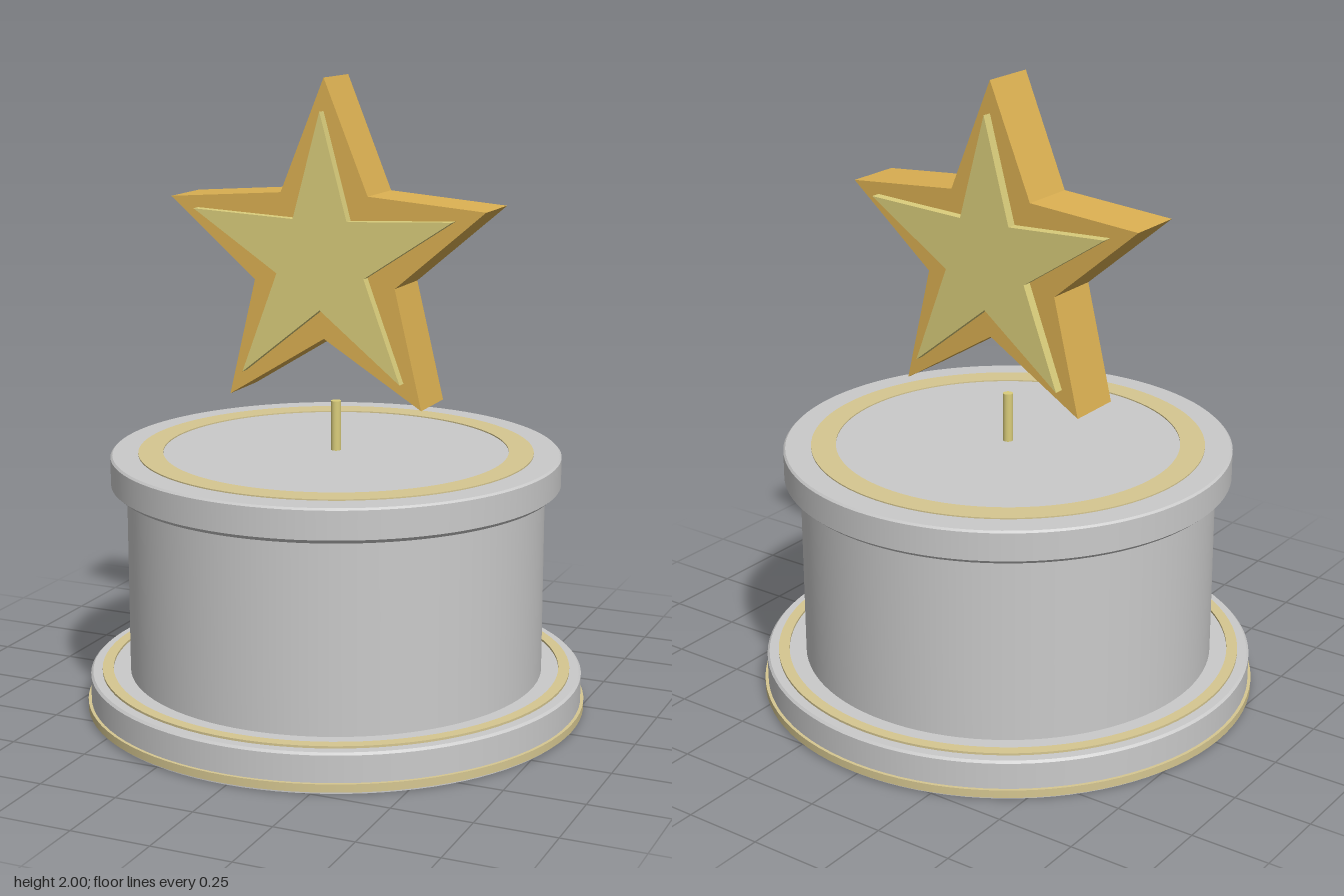
import * as THREE from 'three';

const material = (name, color, side = THREE.FrontSide) => {
  const m = new THREE.MeshStandardMaterial({ color, side });
  m.name = name;
  return m;
};

// Five-pointed star outline, first point upward
function starShape(outer, inner) {
  const points = [];
  for (let i = 0; i < 10; i++) {
    const r = i % 2 ? inner : outer;
    const a = Math.PI / 2 + (i * Math.PI) / 5;
    points.push(new THREE.Vector2(r * Math.cos(a), r * Math.sin(a)));
  }
  return new THREE.Shape(points);
}

// Turned part with sharp profile corners: each profile segment is its own smooth band
function turned(name, profile, mat) {
  const group = new THREE.Group();
  group.name = name;
  for (let i = 0; i < profile.length - 1; i++) {
    const pts = [profile[i], profile[i + 1]].map(([r, y]) => new THREE.Vector2(r, y));
    const band = new THREE.Mesh(new THREE.LatheGeometry(pts, 96), mat);
    band.name = name + 'Band' + (i + 1);
    group.add(band);
  }
  return group;
}

export function createModel() {
  const grey = material('stone grey', 0xcacaca);
  const gold = material('gold', 0xdbb052);
  const yellow = material('pale yellow', 0xdacd7b);
  const tan = material('tan trim', 0xd6c791);
  const model = new THREE.Group();
  model.name = 'starTrophy';

  // Round pedestal, profiles run from bottom to top
  model.add(
    turned('plinth', [[0, 0], [0.787, 0], [0.787, 0.117], [0.78, 0.124], [0.65, 0.124]], grey),
    turned('column', [[0.66, 0.12], [0.66, 0.74]], grey),
    turned('collar', [[0.65, 0.722], [0.695, 0.722], [0.71, 0.735], [0.71, 0.823], [0.704, 0.829], [0, 0.829]], grey),
    turned('footTrim', [[0.78, 0.008], [0.797, 0.008], [0.797, 0.033], [0.78, 0.033]], tan),
    turned('plinthRing', [[0.75, 0.122], [0.75, 0.131], [0.715, 0.131], [0.715, 0.122]], tan),
    turned('topRing', [[0.623, 0.827], [0.623, 0.833], [0.545, 0.833], [0.545, 0.827]], tan),
  );

  // Short pin below the floating star
  const pin = new THREE.Mesh(new THREE.CylinderGeometry(0.016, 0.016, 0.165, 16), yellow);
  pin.name = 'pin';
  pin.position.y = 0.9055;
  model.add(pin);

  // Thick star with a smaller raised star through both faces
  const addStar = (name, outer, inner, depth, mat) => {
    const geometry = new THREE.ExtrudeGeometry(starShape(outer, inner), { depth, bevelEnabled: false });
    geometry.translate(0, 1.448, -depth / 2);
    const star = new THREE.Mesh(geometry, mat);
    star.name = name;
    model.add(star);
  };
  addStar('star', 0.552, 0.247, 0.186, gold);
  addStar('raisedStar', 0.452, 0.153, 0.25, yellow);

  return model;
}
